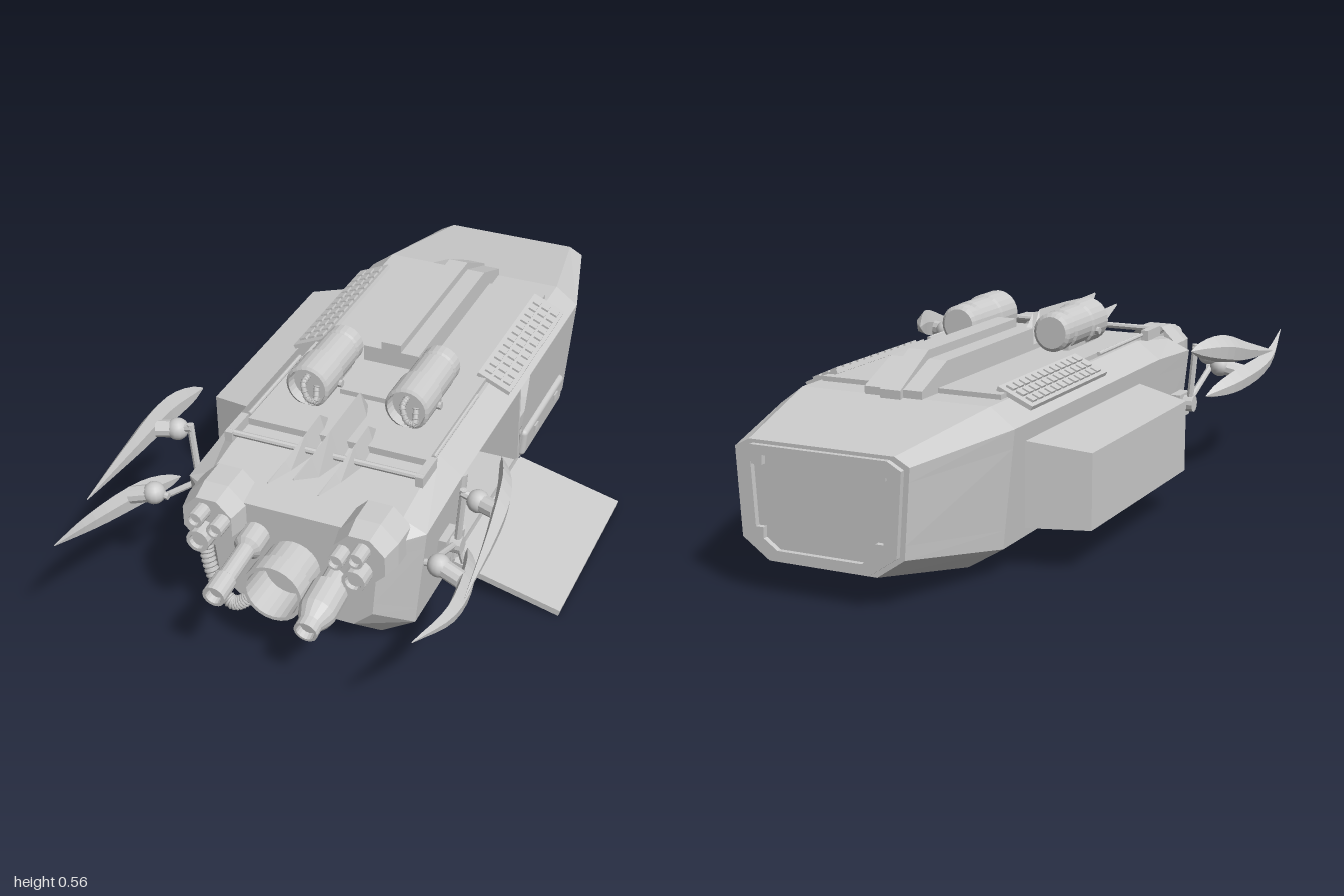
import * as THREE from 'three';
import { RoundedBoxGeometry } from 'three/addons/geometries/RoundedBoxGeometry.js';

const CX = -0.033; // hull centre line
const flat = new THREE.MeshStandardMaterial({ color: 0xcccccc, flatShading: true, side: THREE.DoubleSide });
const smooth = new THREE.MeshStandardMaterial({ color: 0xcccccc });

function add(parent, name, geo, x = 0, y = 0, z = 0, mat = flat) {
  const m = new THREE.Mesh(geo, mat);
  m.name = name;
  m.position.set(x, y, z);
  parent.add(m);
  return m;
}
const box = (p, name, w, h, d, x, y, z) => add(p, name, new THREE.BoxGeometry(w, h, d), x, y, z);

// Skin over closed rings of points; skip(i, k) leaves a face open
function loft(rings, skip = () => false) {
  const pos = [], n = rings[0].length;
  const tri = (...p) => p.forEach((v) => pos.push(...v));
  for (let i = 0; i < rings.length - 1; i++) for (let k = 0; k < n; k++) {
    if (skip(i, k)) continue;
    const j = (k + 1) % n, a = rings[i], b = rings[i + 1];
    tri(a[k], b[k], b[j]);
    tri(a[k], b[j], a[j]);
  }
  const last = rings[rings.length - 1];
  for (let k = 1; k < n - 1; k++) {
    tri(rings[0][0], rings[0][k], rings[0][k + 1]);
    tri(last[0], last[k + 1], last[k]);
  }
  const g = new THREE.BufferGeometry();
  g.setAttribute('position', new THREE.Float32BufferAttribute(pos, 3));
  g.computeVertexNormals();
  return g;
}

// Turned part along z from [radius, z] pairs
function turned(profile, sides = 20) {
  return new THREE.LatheGeometry(profile.map(([r, z]) => new THREE.Vector2(r, z)), sides).rotateX(Math.PI / 2);
}

// Cylinder between two points
function rod(p, name, a, b, r, sides = 8) {
  const va = new THREE.Vector3(...a), d = new THREE.Vector3(...b).sub(va);
  const m = add(p, name, new THREE.CylinderGeometry(r, r, d.length(), sides), 0, 0, 0);
  m.position.copy(va).addScaledVector(d, 0.5);
  m.quaternion.setFromUnitVectors(new THREE.Vector3(0, 1, 0), d.normalize());
  return m;
}

// Ribbed flexible hose
function hose(p, name, pts, r, ribs) {
  const curve = new THREE.CatmullRomCurve3(pts.map((v) => new THREE.Vector3(...v)));
  const g = new THREE.Group();
  g.name = name;
  add(g, 'hoseCore', new THREE.TubeGeometry(curve, 40, r * 0.85, 8), 0, 0, 0, smooth);
  for (let i = 0; i <= ribs; i++) {
    const rib = add(g, 'hoseRib', new THREE.TorusGeometry(r * 0.8, r * 0.25, 5, 10), 0, 0, 0, smooth);
    rib.position.copy(curve.getPoint(i / ribs));
    rib.quaternion.setFromUnitVectors(new THREE.Vector3(0, 0, 1), curve.getTangent(i / ribs));
  }
  p.add(g);
}

// Hull cross-section: bottom, lower chamfer, side, upper chamfer, top
function hullRing(z, hb, yb, hl, yl, hu, yu, ht, yt) {
  const mix = (t) => [hl + (hu - hl) * t, yl + (yu - yl) * t];
  const half = [[hb, yb], [hl, yl], mix(0.16), mix(0.84), [hu, yu], [ht, yt]];
  return [...half.map(([x, y]) => [CX + x, y, z]), ...half.reverse().map(([x, y]) => [CX - x, y, z])];
}

function buildHull(g) {
  const body = (z) => hullRing(z, 0.21, 0.02, 0.306, 0.08, 0.337, 0.39, 0.27, 0.44);
  const rear = hullRing(-0.985, 0.15, 0.088, 0.225, 0.14, 0.24, 0.365, 0.2, 0.387);
  const rings = [
    hullRing(0.67, 0.165, 0.09, 0.22, 0.14, 0.24, 0.36, 0.22, 0.395),
    hullRing(0.59, 0.21, 0.02, 0.306, 0.08, 0.337, 0.375, 0.27, 0.405),
    body(0.34), body(0.2), body(-0.2), body(-0.63), rear];
  // doorway on one side, opening into the pod on the other
  add(g, 'hull', loft(rings, (i, k) => ((i === 2 || i === 3) && k >= 1 && k <= 3) || (i === 3 && k === 8)));

  // cabin
  box(g, 'cabinFloor', 0.6, 0.01, 0.54, CX, 0.085, 0.07);
  box(g, 'cabinCeiling', 0.62, 0.01, 0.54, CX, 0.39, 0.07);
  box(g, 'cabinRearWall', 0.62, 0.3, 0.01, CX, 0.24, -0.2);
  box(g, 'cabinFrontWall', 0.62, 0.3, 0.01, CX, 0.24, 0.34);
  rod(g, 'doorPiston', [0.27, 0.1, 0.31], [0.29, 0.38, 0.31], 0.018, 12);
  rod(g, 'doorPistonCollar', [0.275, 0.16, 0.31], [0.28, 0.2, 0.31], 0.024, 12);

  // side pod
  const pod = (x, z0, z1, y0, y1) => [[x, y0, z1], [x, y1, z1], [x, y1, z0], [x, y0, z0]];
  add(g, 'sidePod', loft([pod(-0.365, -0.56, 0.2, 0.12, 0.345), pod(-0.525, -0.51, 0.15, 0.12, 0.32)],
    () => false).toNonIndexed());

  // loading ramp
  const ramp = box(g, 'ramp', 0.315, 0.018, 0.54, 0.435, 0.054, 0.07);
  ramp.rotation.z = -0.25;
  rod(g, 'rampHinge', [0.283, 0.09, -0.19], [0.283, 0.09, 0.33], 0.012);
  rod(g, 'rampStrut', [0.287, 0.18, 0.33], [0.31, 0.1, 0.33], 0.01);

  // side locker
  const locker = add(g, 'sideLocker', new RoundedBoxGeometry(0.03, 0.09, 0.35, 3, 0.014), 0.278, 0.135, -0.39, smooth);
  locker.rotation.z = -0.1;
  for (const z of [-0.3, -0.48]) box(g, 'lockerLatch', 0.012, 0.02, 0.03, 0.294, 0.15, z);

  // rear window frame
  const outline = (s) => rear.map(([x, y]) => new THREE.Vector2(CX + (x - CX) * s, 0.238 + (y - 0.238) * s));
  const frame = new THREE.Shape(outline(0.94));
  frame.holes.push(new THREE.Path(outline(0.78)));
  add(g, 'rearWindowFrame', new THREE.ExtrudeGeometry(frame, { depth: 0.015, bevelEnabled: false }), 0, 0, -1);
  for (const s of [-1, 1]) for (const y of [0.16, 0.345])
    box(g, 'frameClamp', 0.03, 0.03, 0.02, CX + s * 0.17, y, -0.99);
}

function buildRoof(g) {
  box(g, 'roofPlate', 0.52, 0.02, 0.94, CX, 0.443, -0.08);
  // stepped spine with a sloping tail
  const spine = (name, w, top, z0, z1) => {
    const s = new THREE.Shape([[z0, 0.43], [z0, top], [-0.5, top], [z1, 0.46], [z1, 0.43]]
      .map(([z, y]) => new THREE.Vector2(-z, y)));
    const geo = new THREE.ExtrudeGeometry(s, { depth: w, bevelEnabled: false }).rotateY(Math.PI / 2);
    add(g, name, geo, CX - w / 2, 0, 0);
  };
  spine('spineBase', 0.165, 0.515, 0.02, -0.635);
  spine('spineRidge', 0.058, 0.538, 0.02, -0.65);
  box(g, 'spineWalkway', 0.165, 0.02, 0.17, CX, 0.458, 0.1);

  for (const s of [-1, 1]) {
    // shoulder grille
    const grille = new THREE.Group();
    grille.name = 'shoulderGrille';
    grille.position.set(CX + s * 0.282, 0.44, -0.28);
    grille.rotation.z = -s * 0.42;
    box(grille, 'grillePlate', 0.105, 0.012, 0.48, 0, 0, 0);
    for (let i = 0; i < 3; i++) for (let k = 0; k < 12; k++)
      box(grille, 'grilleCell', 0.022, 0.008, 0.027, (i - 1) * 0.03, 0.008, (k - 5.5) * 0.037);
    g.add(grille);

    // gas tank with feed hose
    const x = -0.03 + s * 0.145;
    add(g, 'tank', turned([[0, 0], [0.045, 0], [0.055, 0.008], [0.055, 0.04], [0.05, 0.045], [0.05, 0.055],
      [0.057, 0.06], [0.057, 0.16], [0.063, 0.165], [0.063, 0.26], [0.055, 0.265], [0.052, 0.235], [0, 0.235]], 24), x, 0.508, 0.005);
    box(g, 'tankCradle', 0.07, 0.03, 0.18, x, 0.455, 0.14);
    rod(g, 'tankValve', [x - 0.07, 0.49, 0.19], [x + 0.07, 0.49, 0.19], 0.011);
    hose(g, 'tankHose', [[x - 0.01, 0.525, 0.24], [x - 0.01, 0.515, 0.27], [x + 0.005, 0.475, 0.275],
      [x + 0.022, 0.47, 0.27], [x + 0.02, 0.505, 0.25]], 0.009, 14);
    // side rail and cross-bar mounts
    rod(g, 'roofRail', [CX + s * 0.268, 0.452, 0.05], [CX + s * 0.268, 0.452, 0.37], 0.006);
    box(g, 'barMount', 0.022, 0.03, 0.1, CX + s * 0.272, 0.448, 0.435);
  }
  rod(g, 'crossBar', [-0.31, 0.455, 0.47], [0.245, 0.455, 0.47], 0.009);

  // forward-pointing fins
  for (const [x, z0, top, w] of [[-0.022, 0.21, 0.525, 0.025], [-0.095, 0.31, 0.495, 0.018], [0.045, 0.31, 0.495, 0.018]]) {
    const sec = (z, h, y, t) => [[x - h, y, z], [x + h, y, z], [x, t, z]];
    add(g, 'roofFin', loft([sec(0.675, 0.002, top - 0.015, top - 0.01), sec(0.57, w * 0.8, 0.455, top - 0.012),
      sec(0.45, w, 0.425, top - 0.005), sec(z0 + 0.05, w, 0.43, top), sec(z0, w, 0.43, 0.455)]));
  }
}

function buildFront(g) {
  for (const s of [-1, 1]) {
    // octagonal lamp cluster
    const c = new THREE.Group();
    c.name = 'lampCluster';
    c.position.set(CX + s * 0.212, 0.355, 0.59);
    const housing = add(c, 'lampHousing', turned([[0.09, 0], [0.088, 0.08], [0.075, 0.14], [0, 0.14]], 8));
    housing.rotation.z = Math.PI / 8;
    for (const [x, y, r] of [[0.005, -0.03, 0.032], [0.01, 0.035, 0.022], [-0.045, 0.015, 0.022]])
      add(c, 'lamp', turned([[r, 0.1], [r, 0.19], [r * 0.7, 0.19], [r * 0.65, 0.178], [0, 0.178]], 14), s * x, y, 0);
    g.add(c);
  }
  add(g, 'centralPort', turned([[0.075, 0], [0.075, 0.07], [0.083, 0.075], [0.083, 0.13], [0.073, 0.13],
    [0.07, 0.03], [0, 0.03]], 24), CX, 0.235, 0.67);
  const probe = add(g, 'longProbe', turned([[0.038, 0], [0.038, 0.06], [0.025, 0.07], [0.025, 0.18], [0.031, 0.185],
    [0.031, 0.25], [0.022, 0.25], [0.02, 0.23], [0, 0.23]], 16), -0.137, 0.305, 0.665);
  const nozzle = add(g, 'wideNozzle', turned([[0.035, 0], [0.035, 0.06], [0.05, 0.07], [0.05, 0.15], [0.045, 0.165],
    [0.032, 0.19], [0.032, 0.22], [0.025, 0.22], [0.023, 0.2], [0, 0.2]], 16), 0.098, 0.25, 0.665);
  probe.rotation.x = 0.1;
  nozzle.rotation.x = 0.15;
  hose(g, 'frontHose', [[-0.29, 0.29, 0.655], [-0.285, 0.21, 0.675], [-0.25, 0.12, 0.69], [-0.2, 0.08, 0.7],
    [-0.155, 0.11, 0.69], [-0.132, 0.19, 0.67]], 0.02, 36);
}

// Curved claw blade with a diamond cross-section
function blade(p, name, pts, h, w) {
  const curve = new THREE.CatmullRomCurve3(pts.map((v) => new THREE.Vector3(...v)));
  const rings = [];
  for (let i = 12; i >= 0; i--) {
    const t = i / 12, c = curve.getPoint(t), k = 0.05 + Math.sin(Math.PI * Math.pow(t, 0.75));
    rings.push([[c.x - w * 0.4 * k, c.y - h * 0.7 * k, c.z], [c.x + w * 0.8 * k, c.y - h * 0.5 * k, c.z],
      [c.x + w * k, c.y + h * 0.3 * k, c.z], [c.x, c.y + h * k, c.z], [c.x - w * 0.5 * k, c.y + h * 0.2 * k, c.z]]);
  }
  add(p, name, loft(rings));
}

function buildClawArm() {
  const g = new THREE.Group();
  g.name = 'clawArm';
  box(g, 'armBase', 0.03, 0.07, 0.08, 0.3, 0.24, 0.44);
  rod(g, 'shoulderJoint', [0.29, 0.245, 0.44], [0.345, 0.245, 0.44], 0.024, 12);
  rod(g, 'upright', [0.33, 0.245, 0.44], [0.345, 0.425, 0.44], 0.01);
  rod(g, 'upperLink', [0.34, 0.415, 0.44], [0.39, 0.4, 0.44], 0.012);
  rod(g, 'lowerLink', [0.325, 0.25, 0.45], [0.325, 0.32, 0.63], 0.009);
  rod(g, 'wristLink', [0.315, 0.32, 0.63], [0.38, 0.325, 0.63], 0.01);
  for (const [x, y, z] of [[0.385, 0.4, 0.44], [0.355, 0.325, 0.635]])
    add(g, 'ballJoint', new THREE.SphereGeometry(0.031, 14, 10), x, y, z, smooth);
  rod(g, 'upperSocket', [0.385, 0.4, 0.44], [0.44, 0.4, 0.46], 0.024, 10);
  rod(g, 'lowerSocket', [0.355, 0.325, 0.635], [0.42, 0.31, 0.65], 0.024, 10);
  blade(g, 'upperClaw', [[0.39, 0.435, 0.28], [0.435, 0.42, 0.4], [0.458, 0.39, 0.55], [0.475, 0.36, 0.77]], 0.045, 0.026);
  blade(g, 'lowerClaw', [[0.37, 0.265, 0.47], [0.415, 0.285, 0.6], [0.445, 0.32, 0.8], [0.43, 0.385, 0.998]], 0.038, 0.026);
  return g;
}

export function createModel() {
  const g = new THREE.Group();
  g.name = 'utilityCraft';
  buildHull(g);
  buildRoof(g);
  buildFront(g);
  const left = buildClawArm(), right = buildClawArm();
  right.scale.x = -1;
  right.position.x = -0.1;
  g.add(left, right);
  return g;
}
